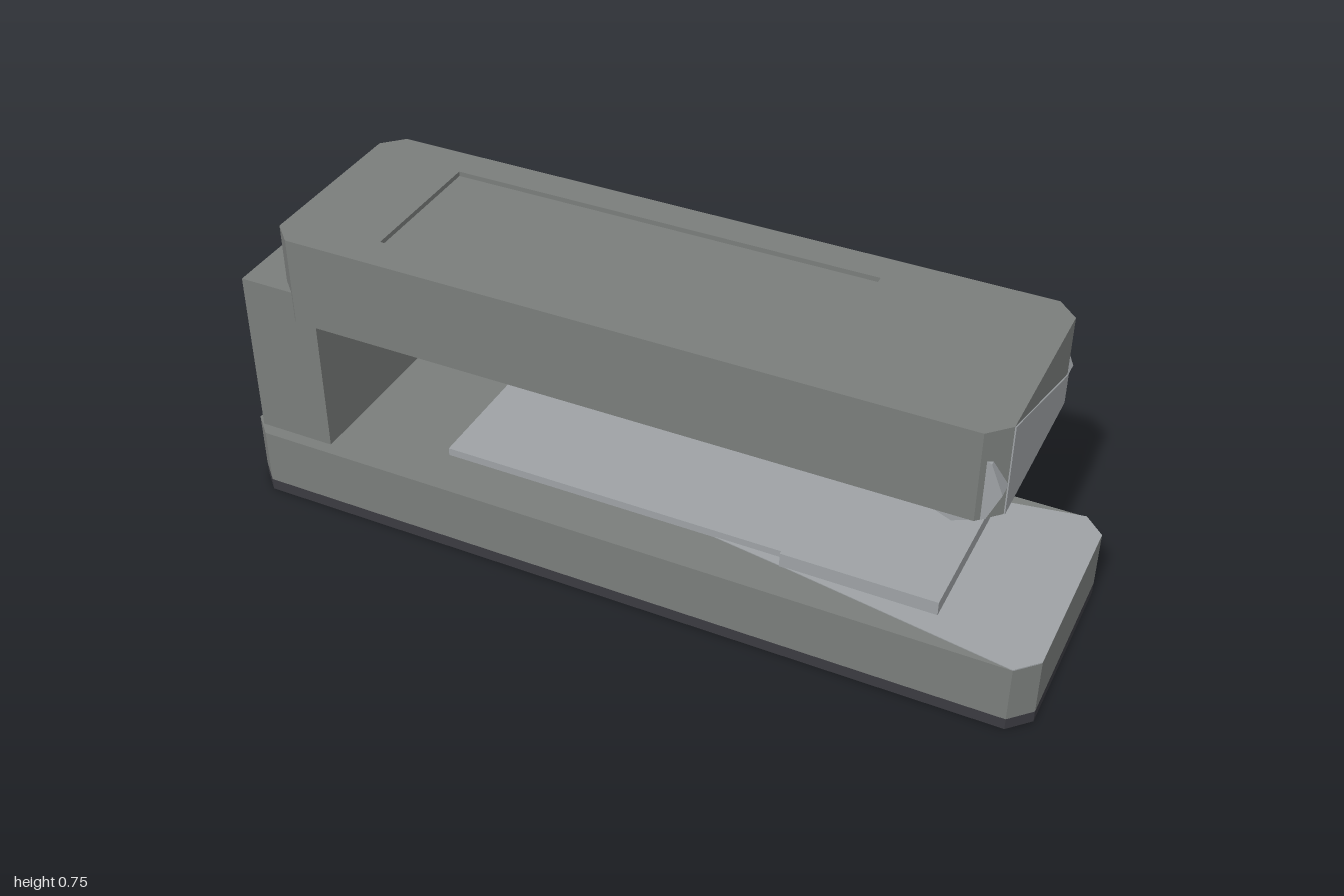
import * as THREE from 'three';

const body = new THREE.MeshStandardMaterial({ name: 'body grey', color: 0x7a7d7b, flatShading: true });
const steel = new THREE.MeshStandardMaterial({ name: 'light steel', color: 0x9ea2a5, flatShading: true });
const rubber = new THREE.MeshStandardMaterial({ name: 'dark rubber', color: 0x3a3a40, flatShading: true });

const polygon = (points) => new THREE.Shape(points.map(([x, y]) => new THREE.Vector2(x, y)));

// Rectangle with cut corners, drawn in plan
function cutRect(x0, x1, w, c) {
  return polygon([
    [x0 + c, -w], [x1 - c, -w], [x1, -w + c], [x1, w - c],
    [x1 - c, w], [x0 + c, w], [x0, w - c], [x0, -w + c],
  ]);
}

// Raise a plan shape from y0 to y1
function slab(name, shape, y0, y1, material) {
  const g = new THREE.ExtrudeGeometry(shape, { depth: y1 - y0, bevelEnabled: false });
  g.rotateX(-Math.PI / 2).translate(0, y0, 0);
  const m = new THREE.Mesh(g, material);
  m.name = name;
  return m;
}

function block(name, x0, x1, y0, y1, w, material) {
  const m = new THREE.Mesh(new THREE.BoxGeometry(x1 - x0, y1 - y0, 2 * w), material);
  m.position.set((x0 + x1) / 2, (y0 + y1) / 2, 0);
  m.name = name;
  return m;
}

export function createModel() {
  const model = new THREE.Group();
  model.name = 'stapler';

  // Base with its rubber sole
  const outline = cutRect(-1, 1, 0.28, 0.05);
  model.add(slab('rubberSole', outline, 0, 0.03, rubber));
  model.add(slab('base', outline, 0.03, 0.175, body));

  // Bright tip on top of the base
  const tip = polygon([
    [0.2, -0.16], [0.4, -0.19], [0.95, -0.28], [1, -0.23],
    [1, 0.23], [0.95, 0.28], [0.4, 0.19], [0.2, 0.16],
  ]);
  model.add(slab('baseTip', tip, 0.174, 0.177, steel));

  // Rail and anvil plates
  model.add(block('railPlate', -0.5, 0.38, 0.17, 0.195, 0.16, steel));
  model.add(block('anvilPlate', 0.375, 0.75, 0.17, 0.213, 0.188, steel));

  // Rear post
  model.add(block('rearPost', -0.975, -0.78, 0.17, 0.6, 0.25, body));

  // Arm with a shallow recess in its top
  model.add(slab('arm', cutRect(-0.875, 0.87, 0.26, 0.048), 0.526, 0.738, body));
  const rim = cutRect(-0.875, 0.87, 0.26, 0.048);
  rim.holes.push(polygon([[-0.63, -0.172], [-0.63, 0.178], [0.44, 0.178], [0.44, -0.172]]));
  model.add(slab('armRim', rim, 0.738, 0.75, body));

  // Eight-sided roller showing through the nose
  const roller = new THREE.Mesh(new THREE.CylinderGeometry(0.1, 0.1, 0.5, 8), steel);
  roller.rotation.x = Math.PI / 2;
  roller.position.set(0.772, 0.602, 0);
  roller.name = 'noseRoller';
  model.add(roller);

  // Slanted bright panel on the nose face
  const panel = new THREE.ExtrudeGeometry(
    polygon([[-0.212, 0.526], [0.212, 0.526], [0.212, 0.602], [-0.212, 0.75]]),
    { depth: 0.003, bevelEnabled: false });
  panel.rotateY(Math.PI / 2);
  const nose = new THREE.Mesh(panel, steel);
  nose.position.x = 0.87;
  nose.name = 'nosePanel';
  model.add(nose);

  return model;
}
